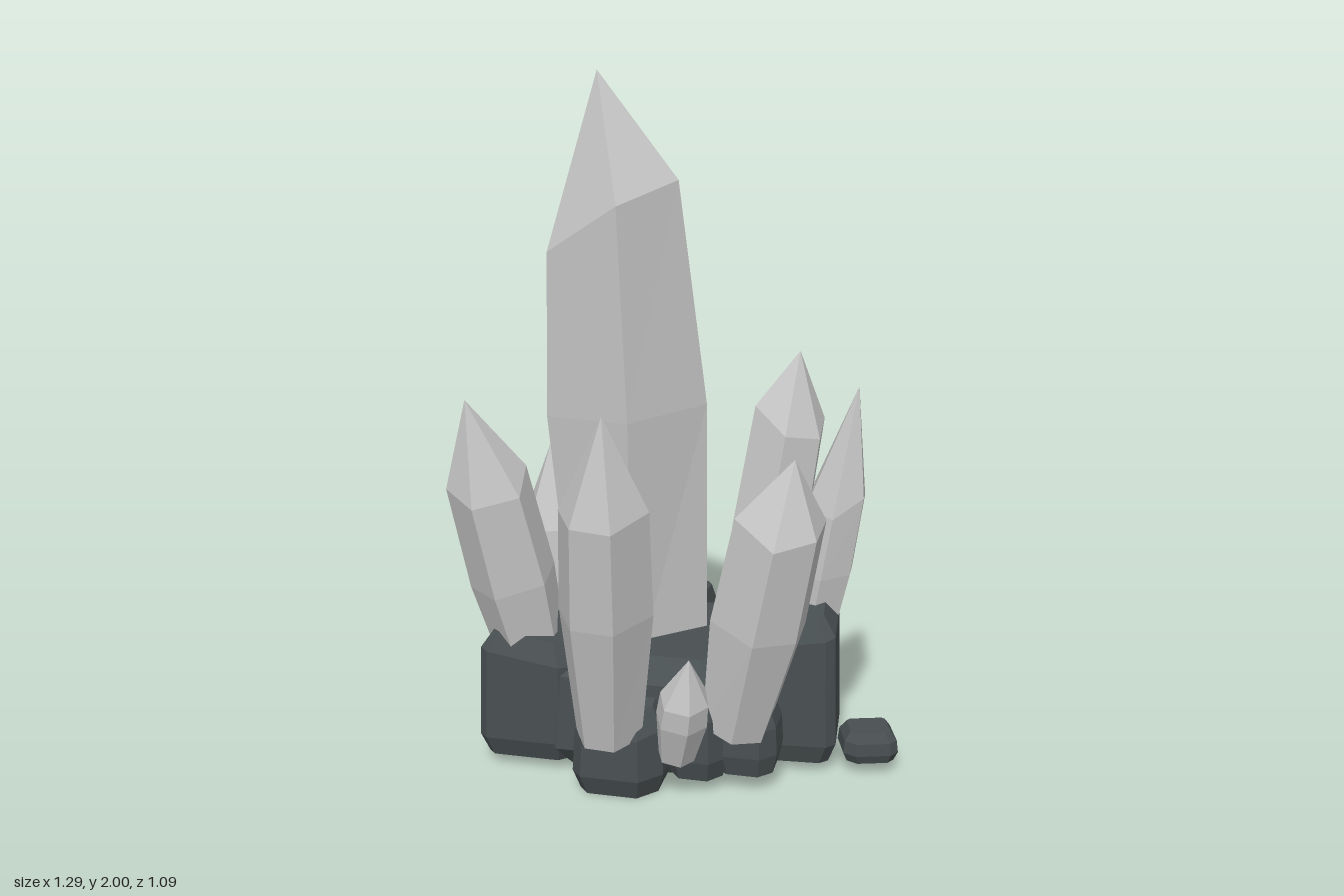
import * as THREE from 'three';

const V = (x, y, z) => new THREE.Vector3(x, y, z);

// Small seeded generator, giving -1..1
function seeded(seed) {
  let s = seed * 7919 + 17;
  return () => {
    s = (s * 16807) % 2147483647;
    return (s / 2147483647) * 2 - 1;
  };
}

// Faceted solid through rings of points, closed by a cap or by an apex
function loft(rings, apex) {
  const pos = [];
  const tri = (...pts) => pts.forEach((p) => pos.push(p.x, p.y, p.z));
  const centre = (ring) => ring.reduce((a, p) => a.add(p), V(0, 0, 0)).divideScalar(ring.length);
  const n = rings[0].length;
  const last = rings[rings.length - 1];
  const bottom = centre(rings[0]);
  const top = apex || centre(last);
  for (let i = 0; i < n; i++) {
    const j = (i + 1) % n;
    tri(bottom, rings[0][i], rings[0][j]);
    for (let k = 0; k + 1 < rings.length; k++) {
      const lo = rings[k], hi = rings[k + 1];
      tri(lo[i], hi[i], lo[j]);
      tri(lo[j], hi[i], hi[j]);
    }
    tri(top, last[j], last[i]);
  }
  const g = new THREE.BufferGeometry();
  g.setAttribute('position', new THREE.Float32BufferAttribute(pos, 3));
  g.computeVertexNormals();
  return g;
}

// Six-sided crystal leaning from its base to its tip; turn spins it, shoulder is where the point starts
function crystal([base, tip, r, turn, shoulder], seed) {
  const rnd = seeded(seed);
  const foot = V(...base), apex = V(...tip);
  const axis = apex.clone().sub(foot);
  const dir = axis.clone().normalize();
  const u = V(1, 0, 0).addScaledVector(dir, -dir.x).normalize();
  const v = u.clone().cross(dir);
  const wobble = Array.from({ length: 6 }, () => [rnd() * 0.1, 1.03 + rnd() * 0.05, rnd() * 0.05]);
  const rings = [[0, 0.72, 0], [0.4, 1.02, 0.3], [shoulder, 0.96, 1]].map(([t, s, slant]) =>
    wobble.map(([da, ds, dt], i) => {
      const a = turn + da + (i * Math.PI) / 3;
      return foot.clone()
        .addScaledVector(axis, t + dt * slant)
        .addScaledVector(u, Math.cos(a) * r * s * ds)
        .addScaledVector(v, Math.sin(a) * r * s * ds);
    }));
  return loft(rings, apex);
}

// Chipped block with cut corners, bevelled edges and a sloping top
function rock([x0, x1, z0, z1, y0, y1, slopeX = 0, slopeZ = 0, yaw = 0], seed) {
  const rnd = seeded(seed);
  const cx = (x0 + x1) / 2, cz = (z0 + z1) / 2;
  const w = (x1 - x0) / 2, d = (z1 - z0) / 2;
  const plan = [];
  for (const [sx, sz, flip] of [[1, 1, 0], [-1, 1, 1], [-1, -1, 0], [1, -1, 1]]) {
    const cut = 0.32 + rnd() * 0.16;
    const pair = [[sx * w, sz * d * (1 - cut)], [sx * w * (1 - cut), sz * d]];
    plan.push(...(flip ? pair.reverse() : pair));
  }
  const h = y1 - y0, b = Math.min(0.06, h * 0.3);
  const c = Math.cos(yaw), s = Math.sin(yaw);
  const rings = [[y0, 0.86, 0], [y0 + b, 1, 0], [y1 - b, 0.95, 1], [y1, 0.72, 1]].map(([y, k, slope]) =>
    plan.map(([x, z]) => V(
      cx + (x * c + z * s) * k,
      y + slope * (slopeX * x + slopeZ * z) * k,
      cz + (z * c - x * s) * k)));
  return loft(rings);
}

export function createModel() {
  const group = new THREE.Group();
  const crystalGrey = new THREE.MeshStandardMaterial({ color: 0xc3c3c3 });
  const rockGrey = new THREE.MeshStandardMaterial({ color: 0x484f51 });
  crystalGrey.name = 'crystalGrey';
  rockGrey.name = 'rockGrey';
  for (const m of [crystalGrey, rockGrey]) m.flatShading = true;

  const add = (name, geometry, material) => {
    const mesh = new THREE.Mesh(geometry, material);
    mesh.name = name;
    group.add(mesh);
  };

  // Tall main crystal: foot, waist and shoulder rings
  const mainRings = [
    [[-0.36, 0.2, -0.12], [-0.33, 0.2, -0.23], [-0.24, 0.2, -0.3], [-0.03, 0.2, -0.28],
      [0.05, 0.2, -0.08], [-0.14, 0.2, 0.1], [-0.32, 0.2, 0.04]],
    [[-0.45, 1.0, -0.13], [-0.38, 1.0, -0.27], [-0.25, 1.03, -0.36], [-0.02, 1.05, -0.31],
      [0.047, 1.05, -0.08], [-0.14, 1.03, 0.12], [-0.4, 1.02, 0.05]],
    [[-0.45, 1.45, -0.13], [-0.37, 1.46, -0.24], [-0.25, 1.5, -0.31], [-0.07, 1.6, -0.26],
      [-0.03, 1.7, -0.05], [-0.17, 1.64, 0.11], [-0.39, 1.5, 0.05]],
  ].map((ring) => ring.map((p) => V(...p)));
  add('mainCrystal', loft(mainRings, V(-0.27, 2, -0.07)), crystalGrey);

  // Ring of leaning side crystals: base, tip, radius, turn, shoulder
  const crystals = {
    frontCrystal: [[-0.14, 0.18, 0.345], [-0.115, 1.14, 0.47], 0.13, 0.02, 0.7],
    frontRightCrystal: [[-0.415, 0.18, 0.1], [-0.585, 1.1, 0.225], 0.12, 0.5, 0.7],
    backRightCrystal: [[-0.44, 0.16, -0.22], [-0.495, 0.85, -0.27], 0.128, 0.05, 0.64],
    backCrystal: [[-0.2, 0.16, -0.39], [-0.215, 0.87, -0.45], 0.118, 0.45, 0.67],
    backLeftCrystal: [[0.125, 0.18, -0.34], [0.26, 1.14, -0.465], 0.125, 0.45, 0.76],
    leftCrystal: [[0.335, 0.2, -0.09], [0.487, 1.12, -0.11], 0.092, 0.5, 0.62],
    frontLeftCrystal: [[0.2, 0.18, 0.22], [0.36, 0.99, 0.24], 0.133, 0.5, 0.76],
    smallFrontCrystal: [[0.05, 0.13, 0.33], [0.1, 0.445, 0.385], 0.072, 0.1, 0.62],
    smallBackCrystal: [[0.05, 0.12, -0.4], [0.06, 0.35, -0.46], 0.045, 0.3, 0.7],
  };
  Object.entries(crystals).forEach(([name, spec], i) => add(name, crystal(spec, i + 3), crystalGrey));

  // Rock bed: x range, z range, y range, top slopes, yaw
  const rocks = {
    coreRock: [-0.42, 0.28, -0.36, 0.27, 0.02, 0.36],
    frontRightRock: [-0.565, -0.25, -0.03, 0.265, 0.03, 0.4, -0.15, 0],
    innerRock: [-0.42, -0.2, -0.1, 0.15, 0.05, 0.44, -0.1, 0],
    frontRock: [-0.25, 0.01, 0.08, 0.385, 0, 0.27, 0, -0.2],
    frontLeftRock: [0, 0.18, 0.08, 0.31, 0.04, 0.3, 0.1, -0.2],
    underFrontLeftRock: [0.14, 0.32, 0.08, 0.27, 0.05, 0.25],
    leftRock: [0.14, 0.46, -0.17, 0.12, 0.03, 0.475, 0.15, -0.15, 0.08],
    backLeftRock: [0.11, 0.31, -0.37, -0.13, 0.03, 0.42],
    chipRock: [0.05, 0.14, -0.42, -0.32, 0.1, 0.19],
    backRock: [-0.12, 0.01, -0.49, -0.25, 0.05, 0.37, 0, 0.1],
    underBackRock: [-0.31, -0.09, -0.44, -0.2, 0.03, 0.35],
    backRightRock: [-0.52, -0.28, -0.36, -0.08, 0.03, 0.38],
    lowSideRock: [-0.58, -0.42, -0.17, -0.02, 0.03, 0.13],
    looseRock: [0.475, 0.635, -0.065, 0.08, 0.035, 0.125, 0, 0, 0.3],
  };
  Object.entries(rocks).forEach(([name, spec], i) => add(name, rock(spec, i + 11), rockGrey));

  return group;
}
